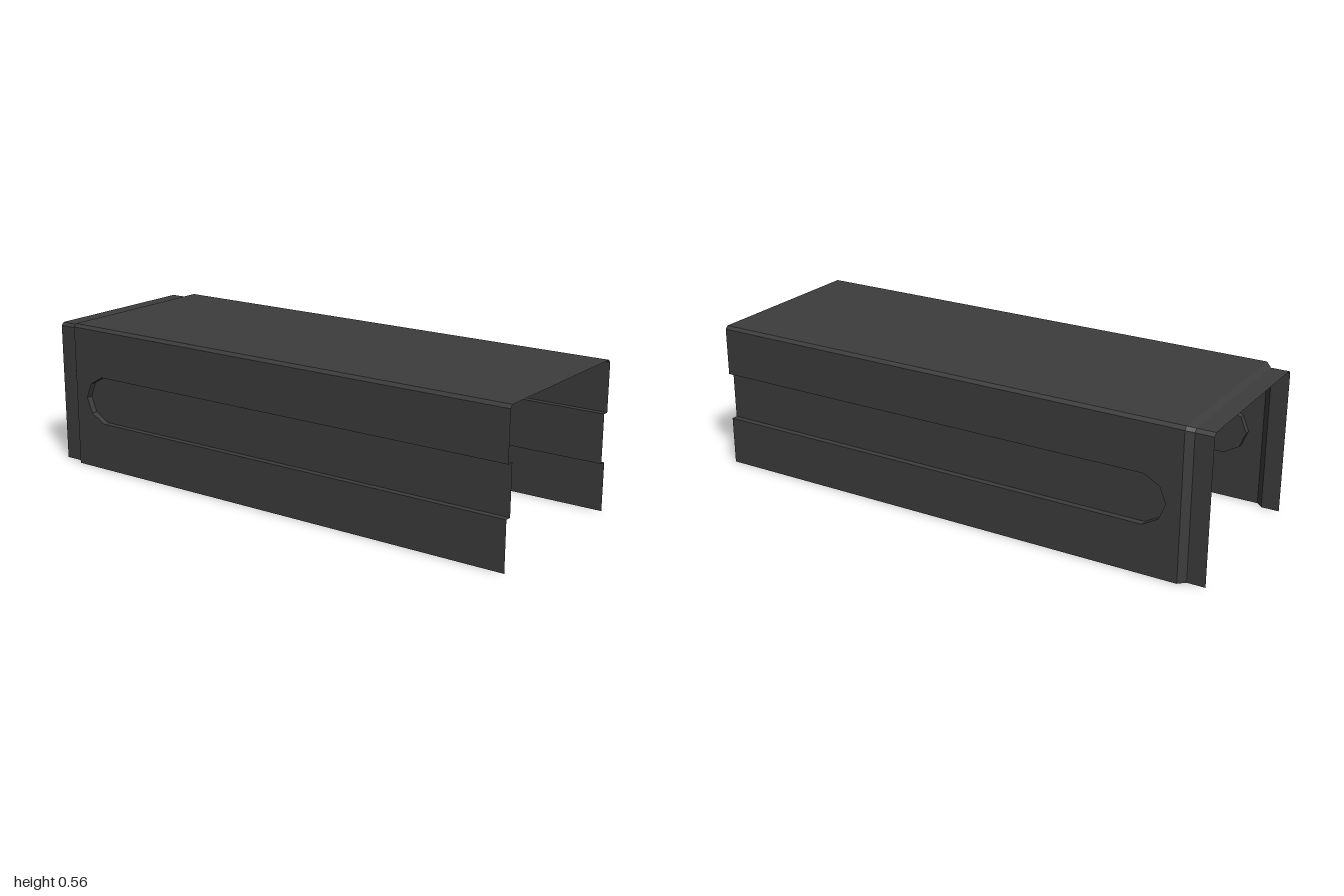
import * as THREE from 'three';

export function createModel() {
  const model = new THREE.Group();
  const sheet = new THREE.MeshStandardMaterial({ color: 0x3c3c3c, side: THREE.DoubleSide, flatShading: true });
  sheet.name = 'dark grey sheet';

  const add = (name, geometry) => {
    const mesh = new THREE.Mesh(geometry, sheet);
    mesh.name = name;
    model.add(mesh);
  };

  // Strip of quads joining two equally long rows of points
  const strip = (a, b) => {
    const pos = [];
    for (let i = 0; i < a.length - 1; i++) {
      pos.push(...a[i], ...b[i], ...b[i + 1], ...a[i], ...b[i + 1], ...a[i + 1]);
    }
    const g = new THREE.BufferGeometry();
    g.setAttribute('position', new THREE.Float32BufferAttribute(pos, 3));
    g.computeVertexNormals();
    return g;
  };

  // Flat outline given as [z, y], standing upright at a given x
  const upright = (points, x) =>
    new THREE.ShapeGeometry(new THREE.Shape(points.map(([z, y]) => new THREE.Vector2(z, y))))
      .rotateY(-Math.PI / 2).translate(x, 0, 0);

  const W = 0.357, H = 0.564, C = 0.0115;      // half width, height, corner chamfer
  const w = 0.333, h = 0.553;                  // the same for the narrower rear collar
  const front = 1, stepStart = -0.907, stepEnd = -0.932, back = -1;

  // Channel section: left foot, over the roof, to the right foot
  const section = (hw, top, z) => [
    [-hw, 0, z], [-hw, top - C, z], [-hw + C, top, z],
    [hw - C, top, z], [hw, top - C, z], [hw, 0, z],
  ];

  // Roof with chamfered edges, then the step and rear collar
  add('roof', strip(section(W, H, front).slice(1, 5), section(W, H, stepStart).slice(1, 5)));
  add('rearStep', strip(section(W, H, stepStart), section(w, h, stepEnd)));
  add('rearCollar', strip(section(w, h, stepEnd), section(w, h, back)));

  // Recessed slot, open at the front and rounded at the rear
  const slot = [
    [front, 0.37], [-0.77, 0.37], [-0.829, 0.337], [-0.853, 0.278],
    [-0.829, 0.219], [-0.77, 0.185], [front, 0.185],
  ];

  for (const [side, s] of [['left', 1], ['right', -1]]) {
    const wall = [[front, H - C], ...slot, [front, 0], [stepStart, 0], [stepStart, H - C]];
    add(side + 'Wall', upright(wall, s * W));
    add(side + 'SlotFloor', upright(slot, s * w));
    add(side + 'SlotRim', strip(
      slot.map(([z, y]) => [s * W, y, z]),
      slot.map(([z, y]) => [s * w, y, z]),
    ));
  }
  return model;
}
